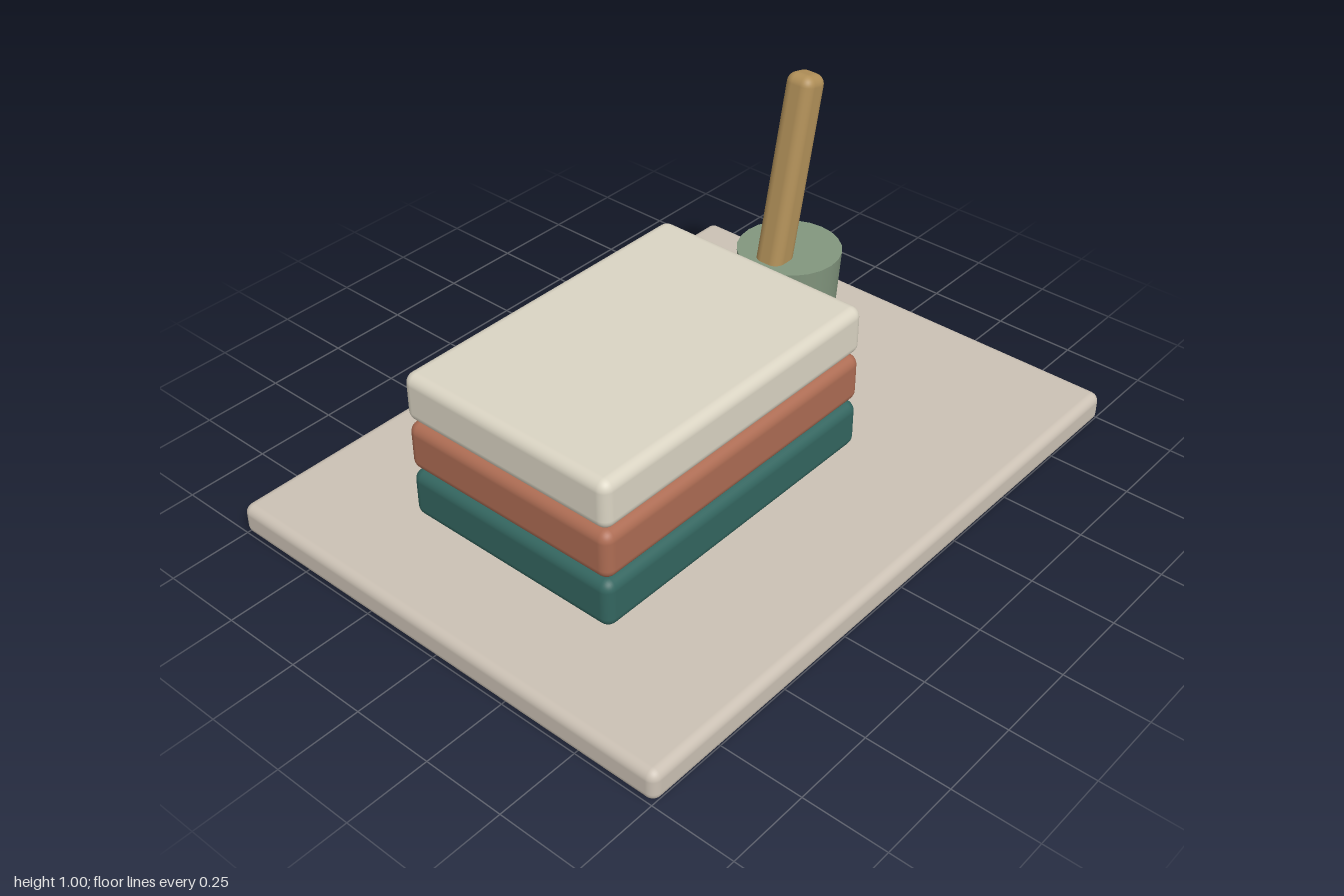
import * as THREE from 'three';
import { RoundedBoxGeometry } from 'three/addons/geometries/RoundedBoxGeometry.js';

function add(group, name, geometry, color, x, y, z) {
  const mesh = new THREE.Mesh(geometry, new THREE.MeshStandardMaterial({ color }));
  mesh.name = name;
  mesh.position.set(x, y, z);
  group.add(mesh);
  return mesh;
}

export function createModel() {
  const model = new THREE.Group();
  model.name = 'deskSet';

  // Base board
  add(model, 'board', new RoundedBoxGeometry(2, 0.096, 1.515, 4, 0.028), 0xcbc1b4, 0, 0.048, 0);

  // Stack of three books with narrow gaps
  const books = new THREE.Group();
  books.name = 'bookStack';
  model.add(books);
  [['bottomBook', 0x33655f], ['middleBook', 0xad6c53], ['topBook', 0xdad4c3]].forEach(([name, color], i) => {
    add(books, name, new RoundedBoxGeometry(1.036, 0.15, 0.72, 4, 0.032), color, -0.202, 0.18 + i * 0.159, -0.002);
  });

  // Tapered cup, closed on top
  add(model, 'cup', new THREE.CylinderGeometry(0.158, 0.135, 0.34, 24), 0x82967e, 0.598, 0.265, -0.12);

  // Square pencil leaning through the cup
  const pencil = add(model, 'pencil', new RoundedBoxGeometry(0.094, 0.876, 0.094, 4, 0.032), 0xb08f58, 0.557, 0.566, -0.12);
  pencil.rotation.z = -0.22;

  return model;
}
